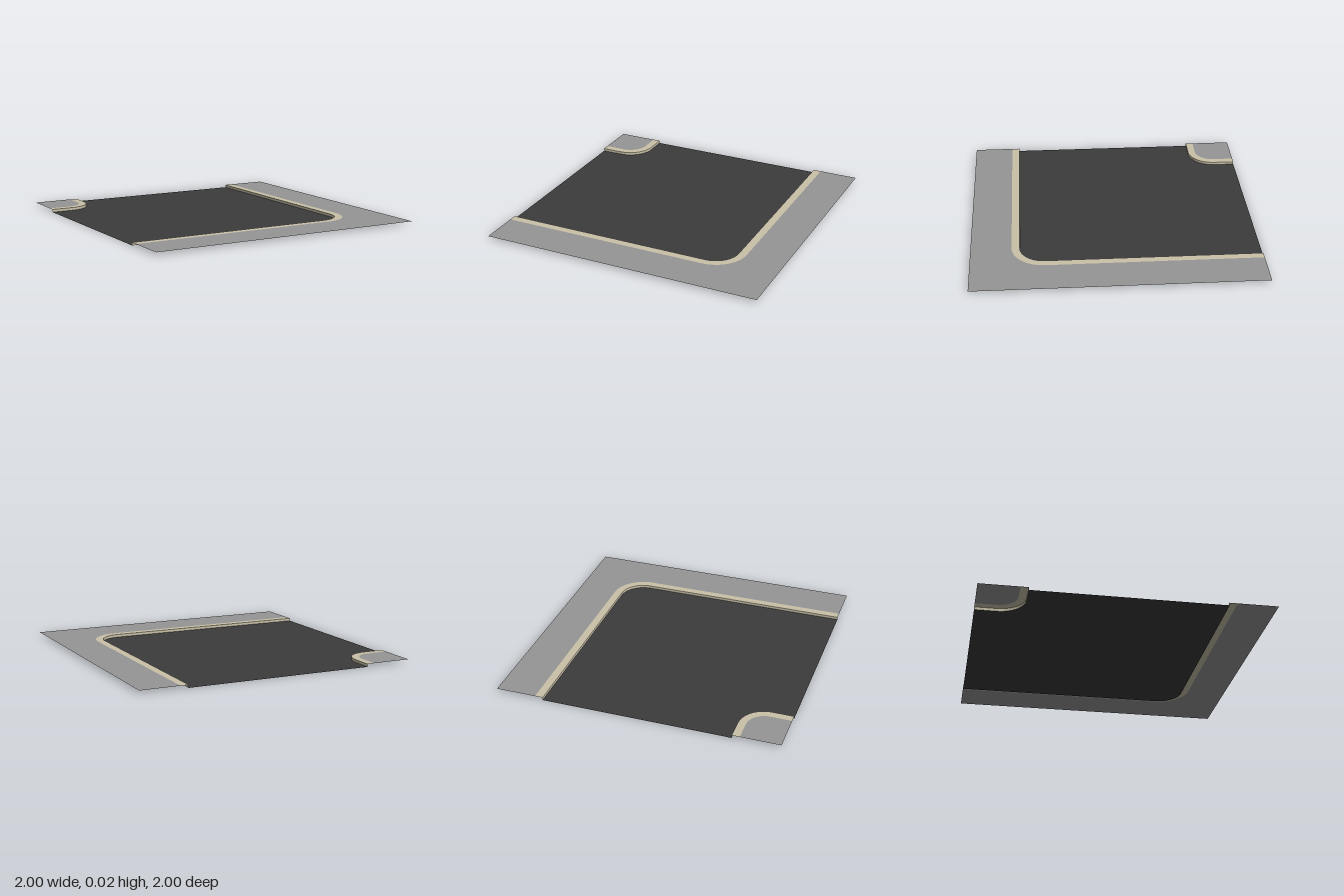
import * as THREE from 'three';

const HEIGHT = 0.02; // kerb height above the road
const OUTER = { road: 0.662, pavement: 0.718, centre: 0.49 };
const ISLAND = { road: -0.668, pavement: -0.722, centre: -0.85 };

// Rounded corner line in (x, z), running from the left side to the back side
function cornerLine(d, c, steps = 12) {
  const points = [new THREE.Vector2(-1, d)];
  for (let i = 0; i <= steps; i++) {
    const a = (Math.PI / 2) * (1 - i / steps);
    points.push(new THREE.Vector2(c + (d - c) * Math.cos(a), c + (d - c) * Math.sin(a)));
  }
  points.push(new THREE.Vector2(d, -1));
  return points;
}

// Flat horizontal sheet bounded by (x, z) points
function sheet(name, points, y, material) {
  const shape = new THREE.Shape(points.map(p => new THREE.Vector2(p.x, -p.y)));
  const geometry = new THREE.ShapeGeometry(shape).rotateX(-Math.PI / 2).translate(0, y, 0);
  const mesh = new THREE.Mesh(geometry, material);
  mesh.name = name;
  return mesh;
}

// Upright strip along a line; flip turns its front the other way
function wall(name, points, flip, material) {
  const positions = [], indices = [];
  points.forEach((p, i) => {
    positions.push(p.x, 0, p.y, p.x, HEIGHT, p.y);
    if (i === 0) return;
    const a = 2 * i - 2, b = 2 * i;
    if (flip) indices.push(a, a + 1, b, b, a + 1, b + 1);
    else indices.push(a, b, a + 1, b, b + 1, a + 1);
  });
  const geometry = new THREE.BufferGeometry();
  geometry.setAttribute('position', new THREE.Float32BufferAttribute(positions, 3));
  geometry.setIndex(indices);
  geometry.computeVertexNormals();
  const mesh = new THREE.Mesh(geometry, material);
  mesh.name = name;
  return mesh;
}

export function createModel() {
  const paint = (name, color) => {
    const material = new THREE.MeshStandardMaterial({ color, side: THREE.DoubleSide });
    material.name = name;
    return material;
  };
  const asphalt = paint('asphalt', 0x3b3b3b);
  const stone = paint('kerbStone', 0xc9c1a8);
  const concrete = paint('pavementGrey', 0x959595);
  const corner = (x, z) => new THREE.Vector2(x, z);

  const outerRoad = cornerLine(OUTER.road, OUTER.centre);
  const outerPavement = cornerLine(OUTER.pavement, OUTER.centre);
  const islandRoad = cornerLine(ISLAND.road, ISLAND.centre);
  const islandPavement = cornerLine(ISLAND.pavement, ISLAND.centre);

  const model = new THREE.Group();
  model.name = 'roadCorner';
  model.add(
    // Road surface between the two kerbs
    sheet('road', [...outerRoad, ...[...islandRoad].reverse()], 0, asphalt),
    // Outer bend
    wall('outerKerbFace', outerRoad, true, stone),
    sheet('outerKerbTop', [...outerRoad, ...[...outerPavement].reverse()], HEIGHT, stone),
    sheet('outerPavement', [...outerPavement, corner(1, -1), corner(1, 1), corner(-1, 1)], HEIGHT, concrete),
    // Inner bend
    wall('innerKerbFace', islandRoad, false, stone),
    sheet('innerKerbTop', [...islandRoad, ...[...islandPavement].reverse()], HEIGHT, stone),
    sheet('innerPavement', [...islandPavement, corner(-1, -1)], HEIGHT, concrete)
  );
  return model;
}
